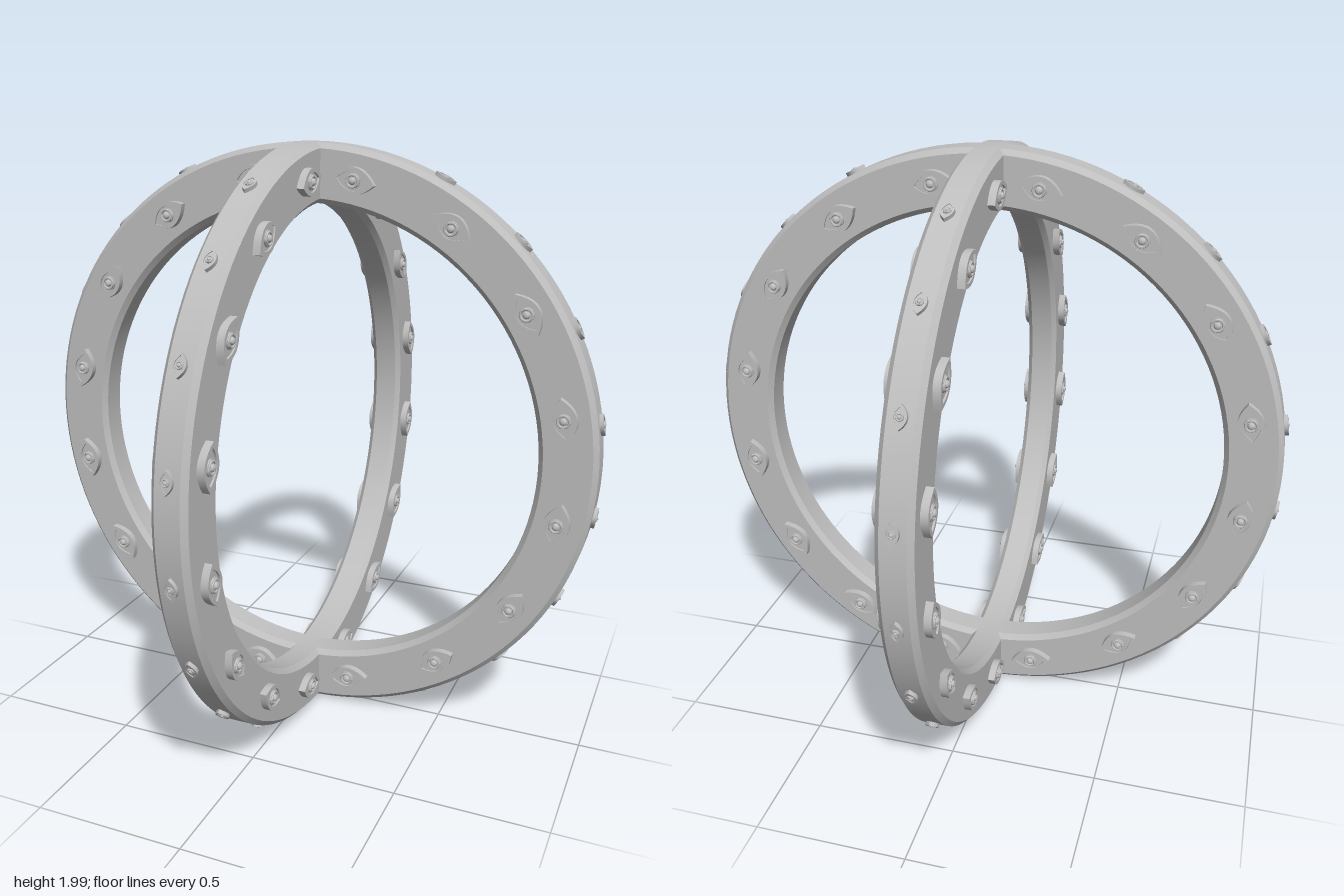
import * as THREE from 'three';
import { mergeGeometries, toCreasedNormals } from 'three/addons/utils/BufferGeometryUtils.js';

const OUTER = 0.995, INNER = 0.805, HALF = 0.057, BEVEL = 0.017;

// Pointed almond outline, long axis along y
function almond(path, halfLength, halfWidth) {
  path.moveTo(0, -halfLength);
  path.quadraticCurveTo(halfWidth * 2, 0, 0, halfLength);
  path.quadraticCurveTo(-halfWidth * 2, 0, 0, -halfLength);
  return path;
}

function extrude(shape, z0, z1) {
  return new THREE.ExtrudeGeometry(shape, { depth: z1 - z0, bevelEnabled: false, curveSegments: 10 })
    .translate(0, 0, z0);
}

function disc(radius, z0, z1) {
  return new THREE.CylinderGeometry(radius, radius, z1 - z0, 20)
    .rotateX(Math.PI / 2).translate(0, 0, (z0 + z1) / 2);
}

// Eye facing +z: lid plate, raised lid rim, iris, iris ring and domed pupil
function eyeGeometry() {
  const lid = almond(new THREE.Shape(), 0.073, 0.043);
  const rim = almond(new THREE.Shape(), 0.073, 0.043);
  rim.holes.push(almond(new THREE.Path(), 0.055, 0.031));
  const parts = [
    extrude(lid, -0.003, 0.018),
    extrude(rim, 0.018, 0.024),
    disc(0.025, 0.017, 0.024),
    new THREE.TorusGeometry(0.019, 0.004, 6, 20).translate(0, 0, 0.024),
    new THREE.SphereGeometry(0.012, 12, 6, 0, Math.PI * 2, 0, Math.PI / 2)
      .rotateX(Math.PI / 2).translate(0, 0, 0.023),
  ];
  const merged = mergeGeometries(parts.map((g) => (g.index ? g.toNonIndexed() : g)));
  return toCreasedNormals(merged, 0.6);
}

// Flat hoop with chamfered edges, lying in the xy plane
function hoopGeometry() {
  const profile = [
    [OUTER - BEVEL, -HALF], [OUTER, -HALF + BEVEL], [OUTER, HALF - BEVEL], [OUTER - BEVEL, HALF],
    [INNER + BEVEL, HALF], [INNER, HALF - BEVEL], [INNER, -HALF + BEVEL], [INNER + BEVEL, -HALF],
    [OUTER - BEVEL, -HALF],
  ].map(([r, y]) => new THREE.Vector2(r, y));
  const hoop = new THREE.LatheGeometry(profile, 128).rotateX(Math.PI / 2);
  return toCreasedNormals(hoop, 0.5);
}

export function createModel() {
  const stone = new THREE.MeshStandardMaterial({ color: 0xbfbfbf });
  stone.name = 'grey';
  const hoopGeo = hoopGeometry();
  const eyeGeo = eyeGeometry();

  function addEye(ring, name, angle, radius, z, turn, scale) {
    const holder = new THREE.Group();
    holder.name = name;
    holder.rotation.z = angle;
    const eye = new THREE.Mesh(eyeGeo, stone);
    eye.name = name + 'Mesh';
    eye.position.set(radius, 0, z);
    eye.rotation.y = turn;
    eye.scale.setScalar(scale);
    holder.add(eye);
    ring.add(holder);
  }

  function makeRing(name) {
    const ring = new THREE.Group();
    ring.name = name;
    const hoop = new THREE.Mesh(hoopGeo, stone);
    hoop.name = 'hoop';
    ring.add(hoop);
    // Large eyes on both flat faces
    for (let i = 0; i < 16; i++) {
      const angle = ((i + 0.5) * Math.PI) / 8;
      addEye(ring, 'faceEye', angle, 0.897, HALF, 0, 1);
      addEye(ring, 'faceEye', angle, 0.897, -HALF, Math.PI, 1);
    }
    // Small eyes around the outer rim, leaving the crossings clear
    for (let i = 0; i < 8; i++) {
      const angle = THREE.MathUtils.degToRad(-63 + i * 18);
      for (const half of [0, Math.PI]) addEye(ring, 'rimEye', angle + half, OUTER, 0, Math.PI / 2, 0.5);
    }
    return ring;
  }

  const model = new THREE.Group();
  model.name = 'crossedEyeRings';
  const wide = makeRing('sideToSideRing');
  const deep = makeRing('frontToBackRing');
  deep.rotation.y = Math.PI / 2;
  for (const ring of [wide, deep]) {
    ring.position.y = OUTER;
    model.add(ring);
  }
  return model;
}
